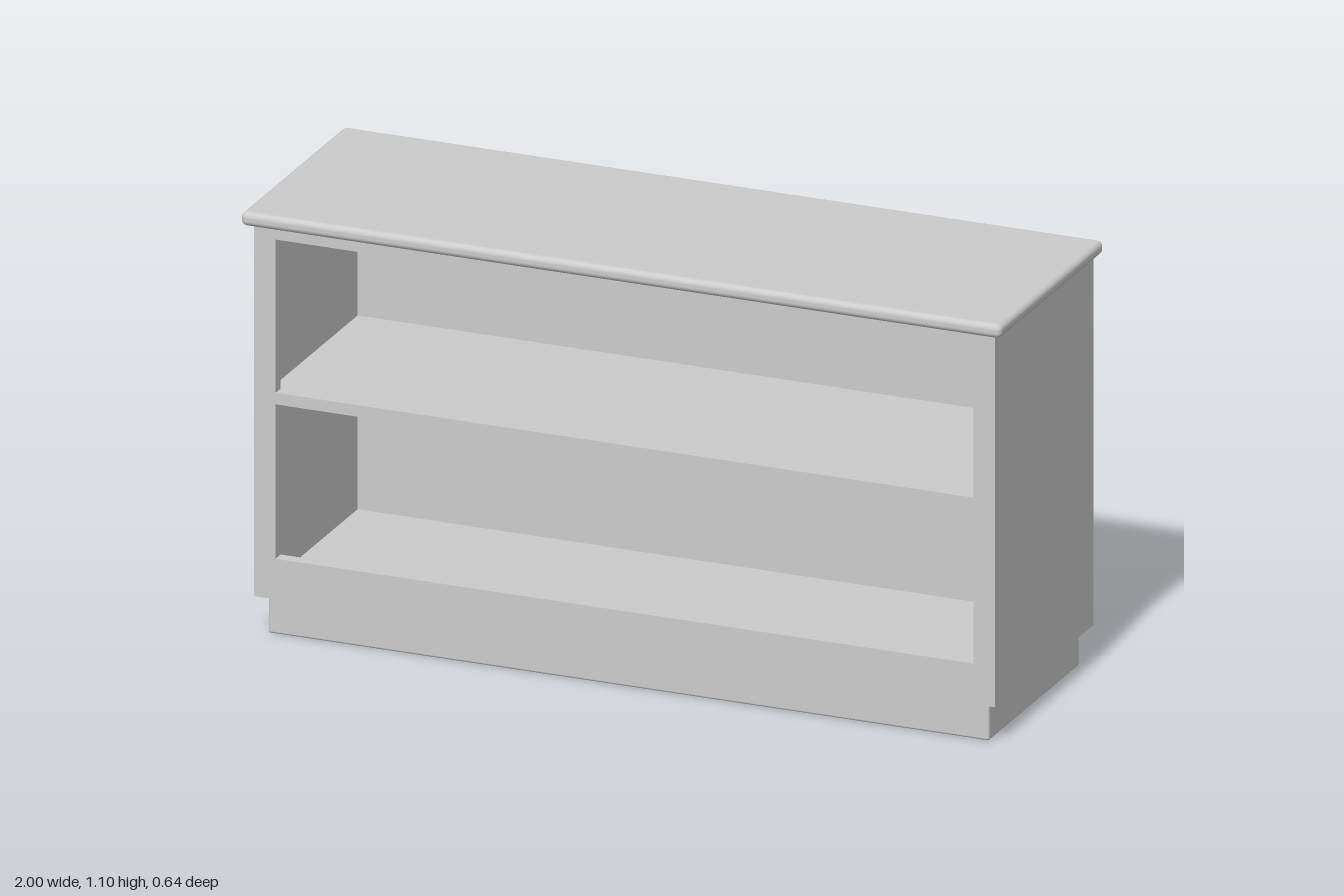
import * as THREE from 'three';
import { RoundedBoxGeometry } from 'three/addons/geometries/RoundedBoxGeometry.js';

const material = new THREE.MeshStandardMaterial({ color: 0xcccccc });

// Box given by its limits on each axis; a radius rounds its edges
function slab(name, [x0, x1], [y0, y1], [z0, z1], radius = 0) {
  const size = [x1 - x0, y1 - y0, z1 - z0];
  const geometry = radius
    ? new RoundedBoxGeometry(...size, 4, radius)
    : new THREE.BoxGeometry(...size);
  const mesh = new THREE.Mesh(geometry, material);
  mesh.name = name;
  mesh.position.set((x0 + x1) / 2, (y0 + y1) / 2, (z0 + z1) / 2);
  return mesh;
}

// Front frame: one board with two wide openings
function frontFrame() {
  const rect = (target, x, y0, y1) => {
    target.moveTo(-x, y0);
    target.lineTo(x, y0);
    target.lineTo(x, y1);
    target.lineTo(-x, y1);
    target.closePath();
    return target;
  };
  const shape = rect(new THREE.Shape(), 0.975, 0.1, 1.064);
  for (const [y0, y1] of [[0.205, 0.605], [0.635, 1.032]]) {
    shape.holes.push(rect(new THREE.Path(), 0.918, y0, y1));
  }
  const geometry = new THREE.ExtrudeGeometry(shape, { depth: 0.032, bevelEnabled: false });
  const mesh = new THREE.Mesh(geometry, material);
  mesh.name = 'frontFrame';
  mesh.position.z = 0.263;
  return mesh;
}

export function createModel() {
  const group = new THREE.Group();
  group.name = 'lowBookcase';

  // Recessed base and overhanging top
  group.add(slab('base', [-0.948, 0.948], [0, 0.1], [-0.29, 0.27], 0.006));
  group.add(slab('top', [-1, 1], [1.064, 1.1], [-0.322, 0.322], 0.015));

  // Carcass
  group.add(slab('rightSide', [-0.975, -0.948], [0.1, 1.064], [-0.315, 0.263]));
  group.add(slab('leftSide', [0.948, 0.975], [0.1, 1.064], [-0.315, 0.263]));
  group.add(slab('back', [-0.948, 0.948], [0.1, 1.064], [-0.311, -0.286]));

  // Shelves sit slightly below the lips of the front frame
  for (const [name, y] of [['bottomShelf', 0.1], ['middleShelf', 0.602]]) {
    group.add(slab(name, [-0.948, 0.948], [y, y + 0.026], [-0.286, 0.263]));
  }

  group.add(frontFrame());
  return group;
}
